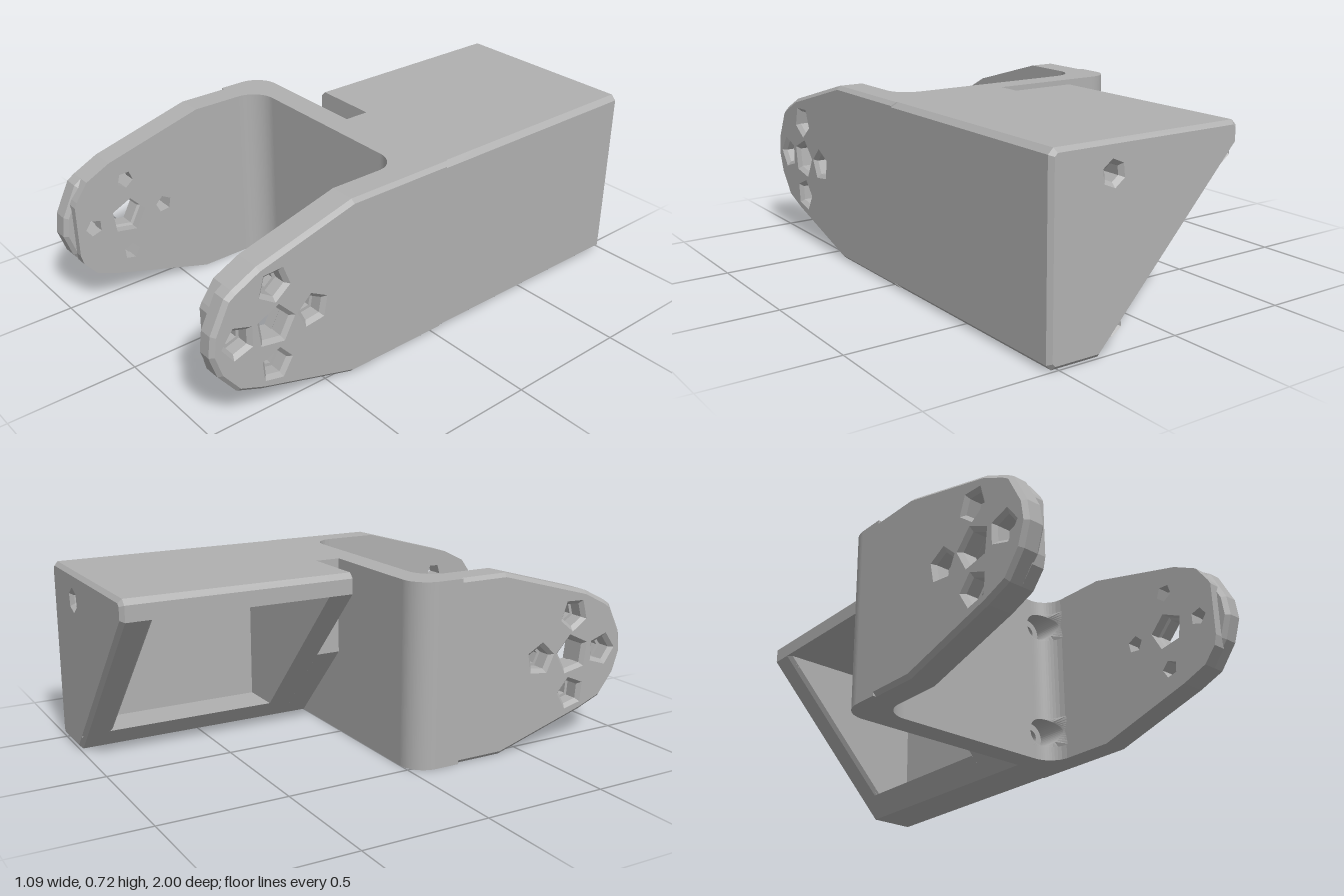
import * as THREE from 'three';

const H = 0.72;                       // overall height
const grey = new THREE.MeshStandardMaterial({ color: 0xb0b0b0 });
grey.name = 'plain grey';

const poly = (pts) => new THREE.Shape(pts.map(([a, b]) => new THREE.Vector2(a, b)));

// Regular polygon hole
function hole(cx, cy, r, sides, turn = 0) {
  const pts = [];
  for (let i = 0; i < sides; i++) {
    const a = turn + (i / sides) * Math.PI * 2;
    pts.push(new THREE.Vector2(cx + r * Math.cos(a), cy + r * Math.sin(a)));
  }
  return new THREE.Path(pts);
}

// Extrusion of total length d, optionally chamfered inside its outline
function slab(shape, d, chamfer = 0) {
  const g = new THREE.ExtrudeGeometry(shape, {
    depth: d - 2 * chamfer, bevelEnabled: chamfer > 0, bevelSegments: 1,
    bevelThickness: chamfer, bevelSize: chamfer, bevelOffset: -chamfer, curveSegments: 16,
  });
  return g.translate(0, 0, chamfer);
}
// Outline in x,y / in z,y / in x,z
const alongZ = (s, z0, z1, c) => slab(s, z1 - z0, c).translate(0, 0, z0);
const alongX = (s, x0, x1, c) => slab(s, x1 - x0, c).rotateY(-Math.PI / 2).translate(x1, 0, 0);
const alongY = (s, y0, y1, c) => slab(s, y1 - y0, c).rotateX(Math.PI / 2).translate(0, y1, 0);

// Side outline of an arm, starting at depth z0; the inner skin has a notched tip
function armShape(z0, notched) {
  const tip = notched
    ? [[0.95, 0.49], [0.96, 0.47], [0.96, 0.26], [0.95, 0.22]]
    : [[0.93, 0.54], [0.99, 0.42], [1, 0.34], [0.97, 0.25]];
  return poly([[z0, 0], [0.4, 0], [0.8, 0.12], [0.9, 0.16], ...tip.reverse(),
    [0.9, 0.56], [0.8, 0.61], [0.4, H], [z0, H]]);
}
function drill(shape, rCentre, rSmall) {
  shape.holes.push(hole(0.74, 0.36, rCentre, 5, 0.5));
  [[0.89, 0.36], [0.74, 0.52], [0.74, 0.2], [0.58, 0.36]].forEach(([z, y], i) =>
    shape.holes.push(hole(z, y, rSmall, 5, i * 0.9)));
  return shape;
}

// Front surface of the cross plate where it sweeps into the long wall
const filletZ = (x) => (x <= 0.33 ? 0.1 : 0.2 - Math.sqrt(Math.max(0, 0.01 - (x - 0.33) ** 2)));

// Square patch of that surface with a stepped blind screw hole
function screwRecess(cx, cy, half) {
  const steps = [[0, null], [0.058, null], [0.058, 0.04], [0.03, 0.04], [0.03, 0.015], [0.0001, 0.015]];
  const N = 48, pos = [];
  const point = ([r, z], i) => {
    const a = (i / N) * Math.PI * 2, c = Math.cos(a), s = Math.sin(a);
    const rad = r || half / Math.max(Math.abs(c), Math.abs(s));
    const x = cx + rad * c;
    return [x, cy + rad * s, z === null ? filletZ(x) : z];
  };
  for (let k = 0; k + 1 < steps.length; k++) {
    for (let i = 0; i < N; i++) {
      const a = point(steps[k], i), b = point(steps[k], i + 1);
      const c = point(steps[k + 1], i + 1), d = point(steps[k + 1], i);
      pos.push(...a, ...b, ...c, ...a, ...c, ...d);
    }
  }
  const g = new THREE.BufferGeometry();
  g.setAttribute('position', new THREE.Float32BufferAttribute(pos, 3));
  g.computeVertexNormals();
  return g;
}

export function createModel() {
  const group = new THREE.Group();
  group.name = 'forkBracket';
  const add = (name, geometry) => {
    const m = new THREE.Mesh(geometry, grey);
    m.name = name;
    group.add(m);
  };

  // Fork arms: notched inner skin and chamfered outer plate with counterbores
  add('longArmInner', alongX(drill(armShape(0, true), 0.075, 0.035), 0.427, 0.48));
  add('longArmOuter', alongX(drill(armShape(-0.05, false), 0.065, 0.05), 0.46, 0.54, 0.015));
  add('shortArmInner', alongX(drill(armShape(0.15, true), 0.075, 0.035), -0.48, -0.43));
  add('shortArmOuter', alongX(drill(armShape(0.12, false), 0.065, 0.05), -0.545, -0.46, 0.015));

  // Cross plate with rounded outer and inner corner
  const x0 = 0.305, x1 = 0.43;
  const plate = new THREE.Shape();
  plate.moveTo(x0, 0);
  plate.lineTo(x0, 0.1);
  plate.lineTo(-0.33, 0.1);
  plate.absarc(-0.33, 0.2, 0.1, -Math.PI / 2, -Math.PI, true);
  plate.lineTo(-0.545, 0.2);
  plate.lineTo(-0.545, 0.1);
  plate.absarc(-0.445, 0.1, 0.1, Math.PI, Math.PI * 1.5, false);
  add('crossPlate', alongY(plate, 0, H));

  // Corner strips between the two screw recesses
  const half = (x1 - x0) / 2, cx = (x0 + x1) / 2, holesY = [0.12, 0.6];
  const corner = [[x0, 0], [x1, 0]];
  for (let i = 16; i >= 0; i--) {
    const x = x0 + ((x1 - x0) * i) / 16;
    corner.push([x, filletZ(x)]);
  }
  [[0, holesY[0] - half], [holesY[0] + half, holesY[1] - half], [holesY[1] + half, H]]
    .forEach(([a, b]) => add('cornerStrip', alongY(poly(corner), a, b)));
  holesY.forEach((y) => add('screwRecess', screwRecess(cx, y, half)));

  // Rear housing: slanted end plates joined by roof, side wall and floor
  const c = 0.02;
  const outer = [[0.33, 0], [0.54 - c, 0], [0.54, c], [0.54, H - c], [0.54 - c, H]];
  const full = () => poly([...outer, [-0.26 + c, H], [-0.26, H - c], [-0.26, 0.64]]);
  const back = full();
  [[0.29, 0.61], [0.29, 0.11], [-0.175, 0.625]].forEach(([x, y]) =>
    back.holes.push(hole(x, y, 0.032, 6, 0.4)));
  add('backPlate', alongZ(back, -1, -0.88, 0.015));
  add('housingFront', alongZ(full(), -0.2, -0.1));
  add('housingShell', alongZ(poly([...outer, [-0.26 + c, H], [-0.26, H - c], [-0.26, 0.64],
    [0.43, 0.64], [0.43, 0.08], [0.256, 0.08]]), -0.9, -0.2));
  // Solid neck tying the housing to the cross plate
  add('neck', alongZ(poly([...outer, [0.02, H], [0.02, 0.336]]), -0.1, 0));
  return group;
}
